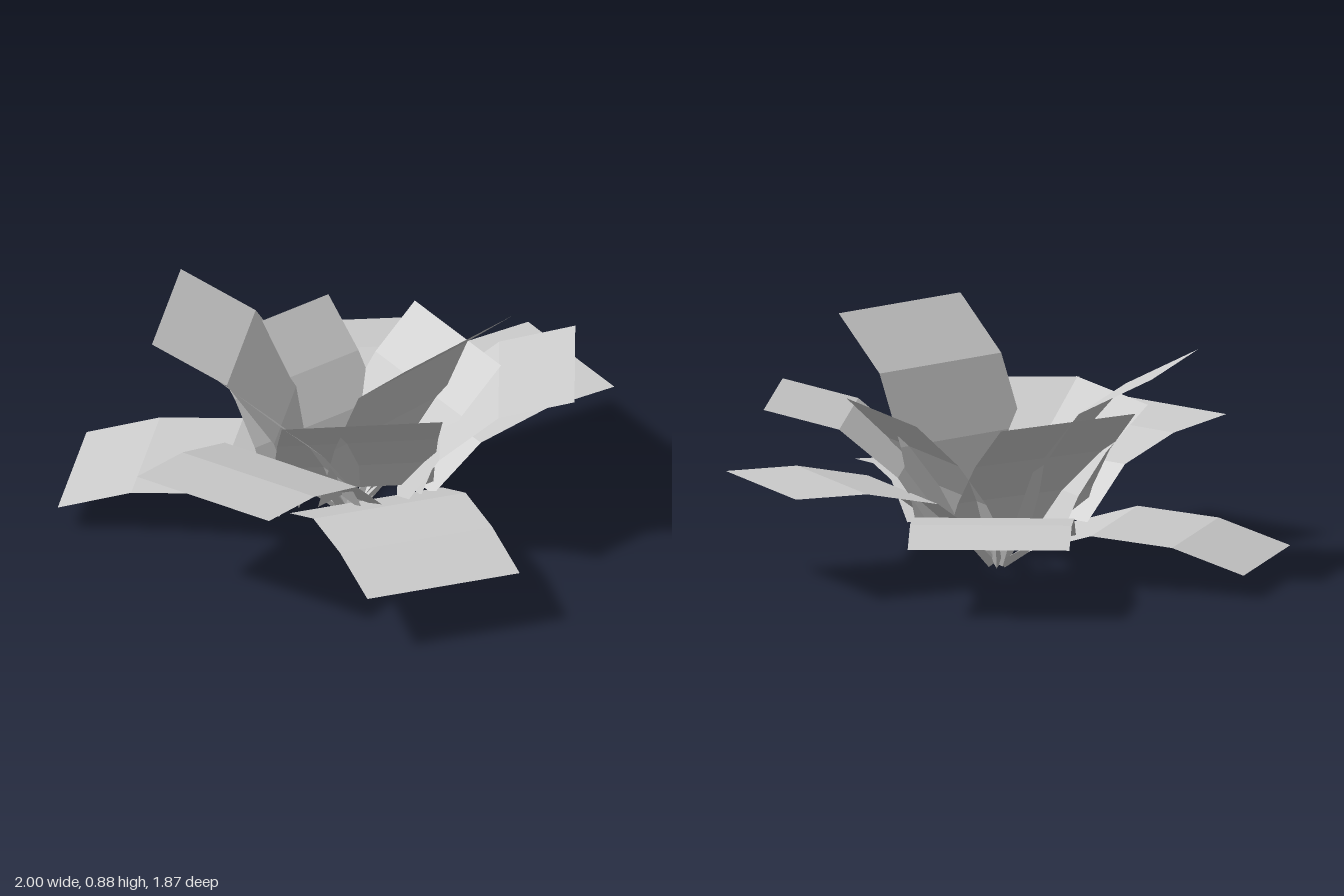
import * as THREE from 'three';

const LEAF_WIDTH = 0.574;

// [name, compass angle in degrees (0 = front), rows of [radius, height] from base to tip]
const LEAVES = [
  ['frontLeaf', 0, [[0.16, 0.165], [0.36, 0.345], [0.62, 0.42], [0.9, 0.445]]],
  ['frontLeftLeaf', 55, [[0.17, 0.13], [0.42, 0.235], [0.7, 0.24], [0.99, 0.2]]],
  ['uprightLeaf', 83, [[0.11, 0.17], [0.19, 0.43], [0.305, 0.68], [0.525, 0.865]]],
  ['leftLeaf', 125, [[0.17, 0.14], [0.32, 0.36], [0.53, 0.53], [0.8, 0.595]]],
  ['backLeaf', 157.5, [[0.17, 0.15], [0.37, 0.3], [0.65, 0.36], [0.93, 0.365]]],
  ['backRightLeaf', 220, [[0.18, 0.13], [0.42, 0.25], [0.7, 0.28], [0.975, 0.245]]],
  ['rightRaisedLeaf', 295, [[0.13, 0.15], [0.22, 0.4], [0.39, 0.62], [0.66, 0.76]]],
  ['rightDroopingLeaf', 295, [[0.2, 0.11], [0.435, 0.18], [0.735, 0.155], [1.0, 0.07]]],
];

// Four matching short leaves form the inner cup
const INNER_ROWS = [[0.12, 0.16], [0.18, 0.28], [0.29, 0.43], [0.455, 0.587]];
for (const angle of [41, 157.5, 255.5, 338]) LEAVES.push(['innerLeaf', angle, INNER_ROWS]);

const material = new THREE.MeshStandardMaterial({
  color: 0xcccccc, flatShading: true, side: THREE.DoubleSide,
});

// Folded rectangular blade, growing along +z
function bladeGeometry(rows) {
  const geo = new THREE.PlaneGeometry(LEAF_WIDTH, 1, 1, rows.length - 1);
  const pos = geo.attributes.position;
  for (let i = 0; i < pos.count; i++) {
    const [r, y] = rows[Math.floor(i / 2)];
    pos.setXYZ(i, pos.getX(i), y, r);
  }
  const flat = geo.toNonIndexed();
  flat.computeVertexNormals();
  return flat;
}

// Three-sided stem tapering to a point that pokes just through the blade
function stemMesh(rows) {
  const start = new THREE.Vector3(0, 0, 0.018);
  const end = new THREE.Vector3(0, rows[0][1], rows[0][0])
    .lerp(new THREE.Vector3(0, rows[1][1], rows[1][0]), 0.3);
  end.y += 0.02;
  const axis = end.clone().sub(start);
  const geo = new THREE.CylinderGeometry(0.002, 0.02, axis.length(), 3, 1);
  const mesh = new THREE.Mesh(geo, material);
  mesh.quaternion.setFromUnitVectors(new THREE.Vector3(0, 1, 0), axis.clone().normalize());
  mesh.position.copy(start).add(end).multiplyScalar(0.5);
  mesh.position.y += 0.005;
  mesh.name = 'stem';
  return mesh;
}

export function createModel() {
  const plant = new THREE.Group();
  plant.name = 'plant';
  for (const [name, angle, rows] of LEAVES) {
    const leaf = new THREE.Group();
    leaf.name = name;
    const blade = new THREE.Mesh(bladeGeometry(rows), material);
    blade.name = 'blade';
    leaf.add(blade, stemMesh(rows));
    leaf.rotation.y = THREE.MathUtils.degToRad(angle);
    leaf.position.set(0.025, 0, 0.03);
    plant.add(leaf);
  }
  return plant;
}
